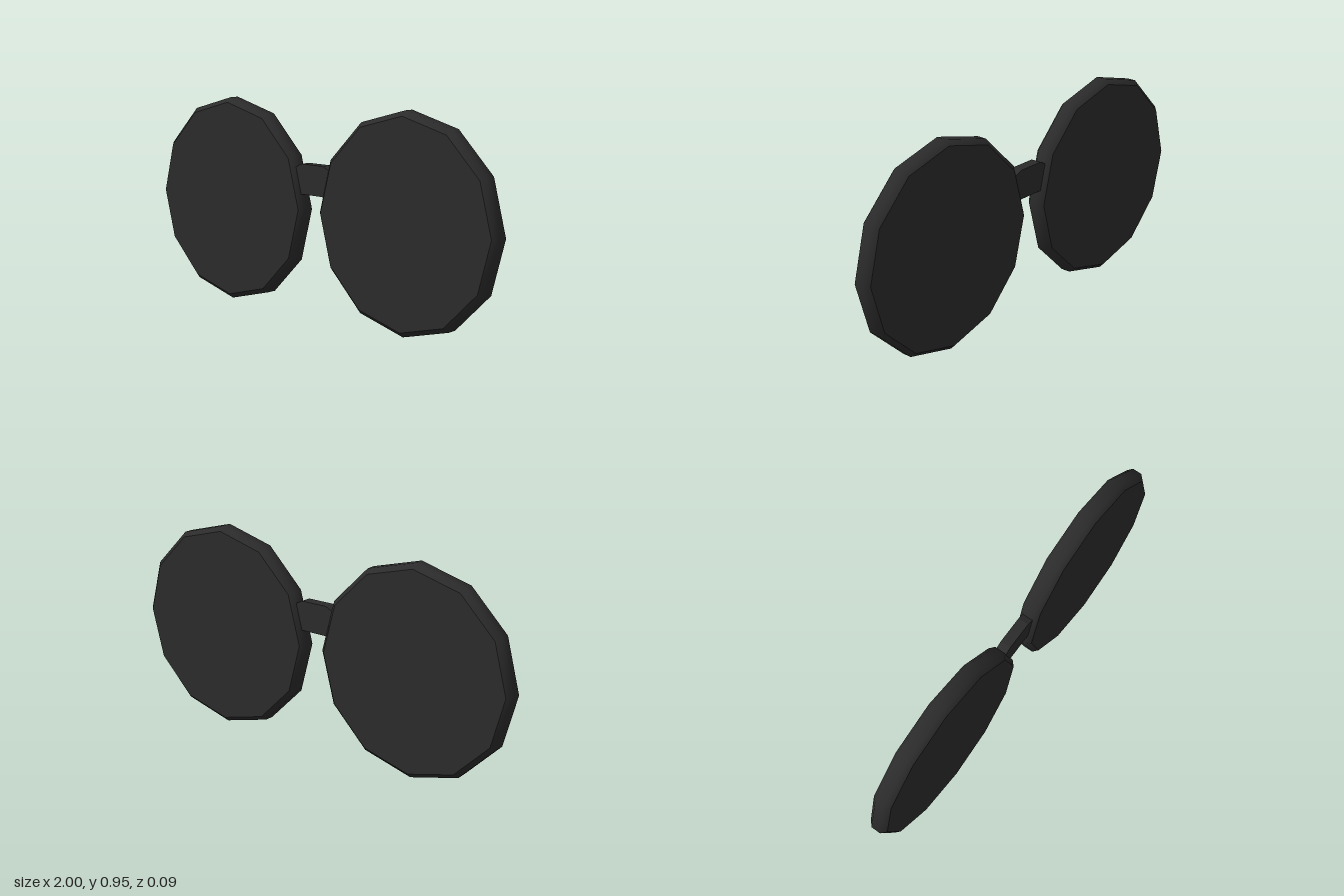
import * as THREE from 'three';

const SIDES = 12, RADIUS = 0.4775, FACE_RADIUS = 0.455;
const HALF_DEPTH = 0.044, HALF_EDGE = 0.022;

export function createModel() {
  const model = new THREE.Group();
  const black = new THREE.MeshStandardMaterial({ color: 0x2b2b2b });
  black.name = 'matte black';

  const add = (parent, name, geometry) => {
    const mesh = new THREE.Mesh(geometry, black);
    mesh.name = name;
    parent.add(mesh);
    return mesh;
  };

  // Rim: twelve-sided, softly shaded bevel around each lens
  const profile = [
    [FACE_RADIUS, -HALF_DEPTH], [RADIUS, -HALF_EDGE],
    [RADIUS, HALF_EDGE], [FACE_RADIUS, HALF_DEPTH],
  ].map(([r, d]) => new THREE.Vector2(r, d));
  const rimGeometry = new THREE.LatheGeometry(profile, SIDES).rotateX(Math.PI / 2);
  const faceGeometry = new THREE.CircleGeometry(FACE_RADIUS, SIDES);

  // Lenses: flat front and back faces closing the rim
  for (const [side, label] of [[1, 'left'], [-1, 'right']]) {
    const lens = new THREE.Group();
    lens.name = label + 'Lens';
    lens.position.set(side * (1 - RADIUS), 0.48, 0);
    add(lens, label + 'Rim', rimGeometry);
    add(lens, label + 'LensFront', faceGeometry).position.z = HALF_DEPTH;
    const back = add(lens, label + 'LensBack', faceGeometry);
    back.position.z = -HALF_DEPTH;
    back.rotation.y = Math.PI;
    model.add(lens);
  }

  // Bridge: flat bar with slightly drooping ends sunk into the rims
  const outline = [
    [-0.13, 0.535], [-0.06, 0.55], [0.06, 0.55], [0.13, 0.535],
    [0.13, 0.655], [0.065, 0.686], [-0.065, 0.686], [-0.13, 0.655],
  ].map(([x, y]) => new THREE.Vector2(x, y));
  const bridge = new THREE.ExtrudeGeometry(new THREE.Shape(outline), { depth: 0.05, bevelEnabled: false });
  add(model, 'bridge', bridge.translate(0, 0, -0.025));

  return model;
}
